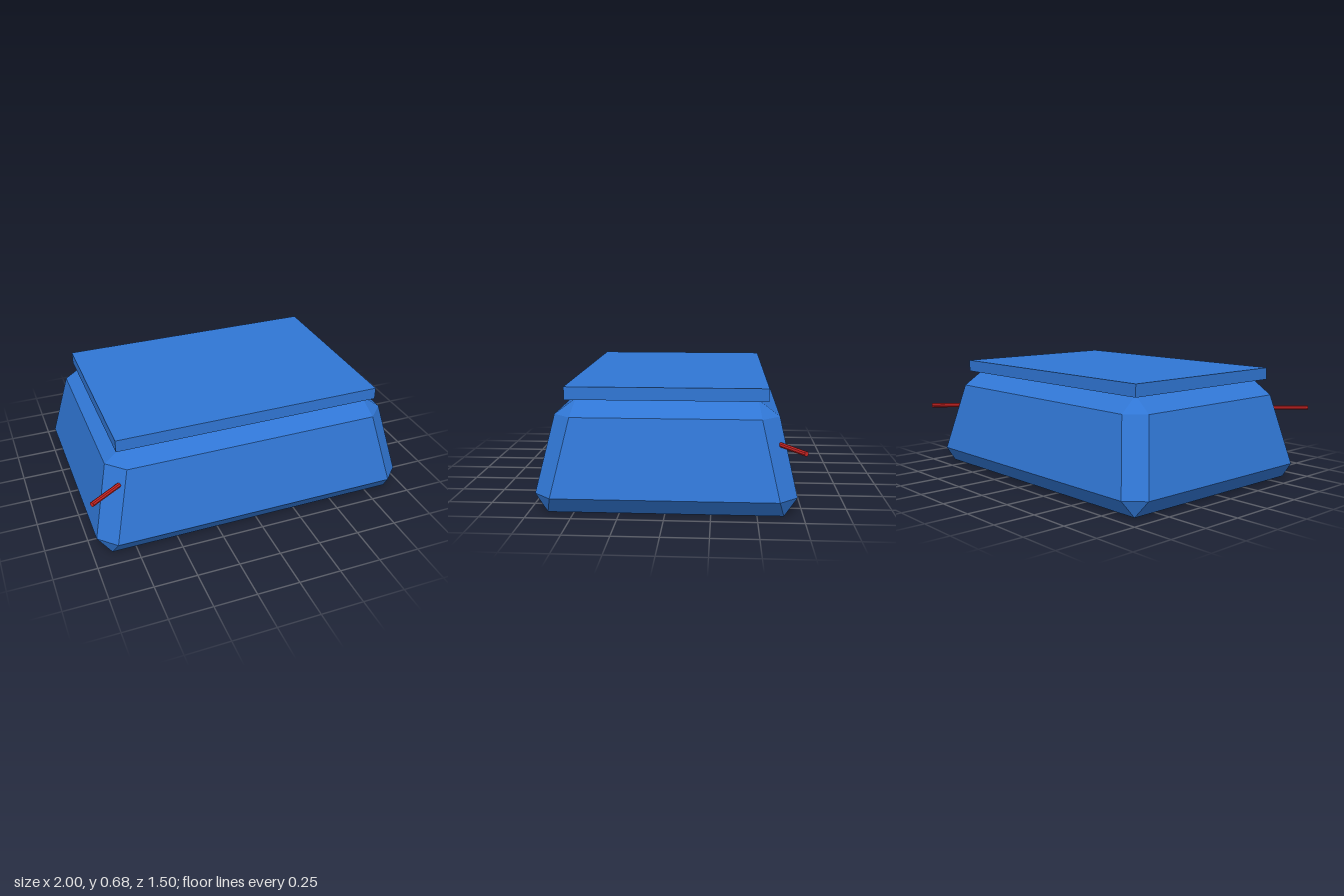
import * as THREE from 'three';

const blue = new THREE.MeshStandardMaterial({ color: 0x3076d4, flatShading: true });
blue.name = 'blue';
const red = new THREE.MeshStandardMaterial({ color: 0xcc2424, flatShading: true });
red.name = 'red';

// Eight points round a rectangle whose corners are cut by c
function ring(y, x, z, c) {
  const X = x - c, Z = z - c;
  return [[x, Z], [X, z], [-X, z], [-x, Z], [-x, -Z], [-X, -z], [X, -z], [x, -Z]]
    .map(([px, pz]) => [px, y, pz]);
}

// Solid through a stack of rings, closed at both ends
function loft(rings) {
  const pos = [];
  const tri = (...pts) => pts.forEach((p) => pos.push(...p));
  const n = rings[0].length;
  const same = (a, b) => a.every((v, i) => Math.abs(v - b[i]) < 1e-6);
  const face = (a, b, c) => {
    if (!same(a, b) && !same(b, c) && !same(a, c)) tri(a, b, c);
  };
  for (let r = 0; r < rings.length - 1; r++) {
    const lo = rings[r], hi = rings[r + 1];
    for (let i = 0; i < n; i++) {
      const j = (i + 1) % n;
      face(lo[i], hi[i], lo[j]);
      face(lo[j], hi[i], hi[j]);
    }
  }
  const bottom = rings[0], top = rings[rings.length - 1];
  for (let i = 1; i < n - 1; i++) {
    face(bottom[0], bottom[i], bottom[i + 1]);
    face(top[0], top[i + 1], top[i]);
  }
  const g = new THREE.BufferGeometry();
  g.setAttribute('position', new THREE.Float32BufferAttribute(pos, 3));
  g.computeVertexNormals();
  return g;
}

// Thin straight rod between two points
function rod(name, from, to) {
  const a = new THREE.Vector3(...from), b = new THREE.Vector3(...to);
  const dir = b.clone().sub(a);
  const mesh = new THREE.Mesh(new THREE.CylinderGeometry(0.014, 0.014, dir.length(), 8), red);
  mesh.position.copy(a).add(b).multiplyScalar(0.5);
  mesh.quaternion.setFromUnitVectors(new THREE.Vector3(0, 1, 0), dir.normalize());
  mesh.name = name;
  return mesh;
}

export function createModel() {
  const group = new THREE.Group();
  group.name = 'lidded box';

  // Tapered body with bevelled corners, sharp at top and bottom
  const body = new THREE.Mesh(loft([
    ring(0, 0.89, 0.645, 0),
    ring(0.098, 0.967, 0.718, 0.1),
    ring(0.525, 0.865, 0.62, 0.1),
    ring(0.612, 0.745, 0.502, 0),
  ]), blue);
  body.name = 'body';
  group.add(body);

  // Flat overhanging lid
  const lid = new THREE.Mesh(new THREE.BoxGeometry(1.608, 0.072, 1.116), blue);
  lid.position.y = 0.647;
  lid.name = 'lid';
  group.add(lid);

  // Rods sticking out of two opposite corners
  group.add(rod('frontRod', [-0.78, 0.429, 0.588], [-0.993, 0.438, 0.738]));
  group.add(rod('backRod', [0.78, 0.384, -0.588], [0.99, 0.374, -0.744]));

  return group;
}
